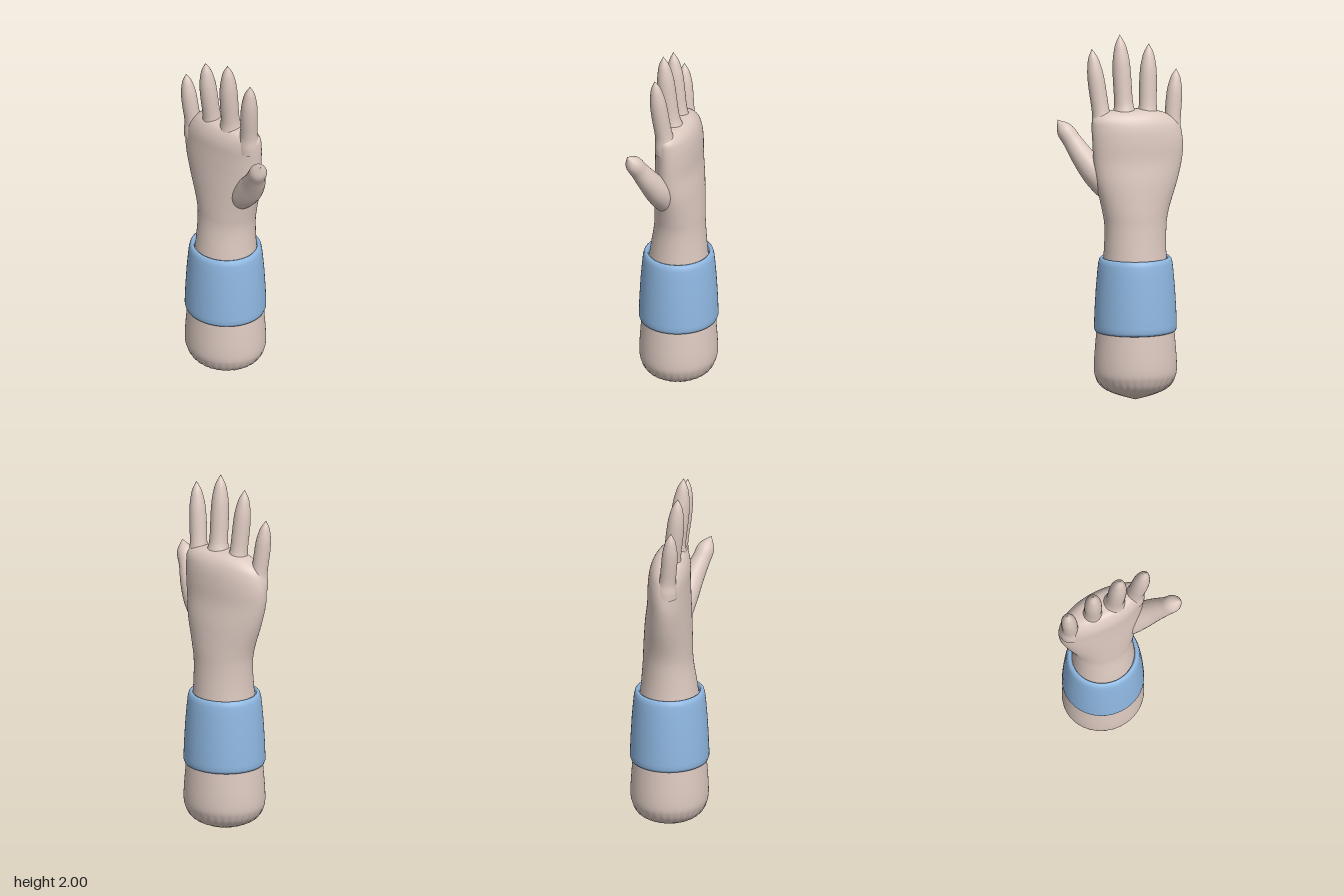
import * as THREE from 'three';

const skin = new THREE.MeshStandardMaterial({ color: 0xdcc9c0 });
skin.name = 'skin';
const cuffBlue = new THREE.MeshStandardMaterial({ color: 0x8fb8e2 });
cuffBlue.name = 'cuff blue';

// Smooth closed skin over a stack of rings; point(i, angle) returns a Vector3
function loft(rows, sides, point) {
  const pos = [], index = [];
  for (let i = 0; i <= rows; i++) {
    for (let j = 0; j < sides; j++) {
      const p = point(i / rows, (j / sides) * Math.PI * 2);
      pos.push(p.x, p.y, p.z);
      if (i === rows) continue;
      const a = i * sides + j, b = i * sides + (j + 1) % sides;
      index.push(a, a + sides, b, b, a + sides, b + sides);
    }
  }
  const geo = new THREE.BufferGeometry();
  geo.setAttribute('position', new THREE.Float32BufferAttribute(pos, 3));
  geo.setIndex(index);
  geo.computeVertexNormals();
  return geo;
}

const spline = (pts) => new THREE.CatmullRomCurve3(pts.map((p) => new THREE.Vector3(...p)), false, 'catmullrom', 0.5);

function add(group, name, geometry, material) {
  const mesh = new THREE.Mesh(geometry, material);
  mesh.name = name;
  group.add(mesh);
  return mesh;
}

// Forearm, wrist and palm: y, centre x, radius x, centre z, radius z
const ARM = [
  [0, -0.07, 0.002, 0, 0.002],
  [0.035, -0.07, 0.11, 0, 0.105],
  [0.07, -0.07, 0.178, 0, 0.168],
  [0.12, -0.07, 0.215, 0, 0.2],
  [0.19, -0.07, 0.226, 0, 0.212],
  [0.38, -0.07, 0.212, 0, 0.2],
  [0.6, -0.07, 0.19, 0, 0.178],
  [0.79, -0.067, 0.172, -0.002, 0.156],
  [0.95, -0.068, 0.17, -0.008, 0.137],
  [1.05, -0.068, 0.185, -0.008, 0.133],
  [1.2, -0.075, 0.226, -0.005, 0.125],
  [1.32, -0.083, 0.247, 0, 0.115],
  [1.42, -0.083, 0.253, 0, 0.112],
  [1.5, -0.078, 0.251, 0.003, 0.107],
  [1.555, -0.07, 0.235, 0.005, 0.09],
  [1.588, -0.06, 0.17, 0.01, 0.06],
  [1.598, -0.05, 0.002, 0.015, 0.002],
];

function armGeometry() {
  const centre = spline(ARM.map(([y, cx, , cz]) => [cx, y, cz]));
  const radius = spline(ARM.map(([y, , rx, , rz]) => [rx, y, rz]));
  return loft(80, 128, (t, a) => {
    const c = centre.getPoint(t), r = radius.getPoint(t);
    // pleats gathered under the rounded end
    const pleat = 1 + 0.018 * Math.cos(a * 32) * Math.max(0, 1 - Math.abs(c.y - 0.075) / 0.07);
    const x = c.x + Math.max(r.x, 0.001) * Math.cos(a) * pleat;
    const z = c.z + Math.max(r.z, 0.001) * Math.sin(a) * pleat;
    // knuckles slope down towards the little finger
    const drop = 0.9 * Math.max(0, -(x + 0.1)) ** 2 * THREE.MathUtils.smoothstep(c.y, 1.3, 1.55);
    return new THREE.Vector3(x, c.y - drop, z);
  });
}

// Round tapering digit along a path, with radii given at even steps
function digitGeometry(path, radii) {
  const curve = spline(path);
  const profile = spline(radii.map((r, i) => [r, i, 0]));
  const side = new THREE.Vector3(1, 0, 0);
  return loft(36, 28, (t, a) => {
    const tangent = curve.getTangent(t);
    const front = side.clone().cross(tangent).normalize();
    const right = tangent.clone().cross(front);
    const r = Math.max(profile.getPoint(t).x, 0.0005);
    return curve.getPoint(t)
      .addScaledVector(right, r * Math.cos(a))
      .addScaledVector(front, r * Math.sin(a));
  });
}

// name, base, tip, radius
const FINGERS = [
  ['littleFinger', [-0.275, 1.42, 0.012], [-0.312, 1.803, 0.045], 0.044],
  ['ringFinger', [-0.142, 1.5, 0.012], [-0.162, 1.945, 0.06], 0.048],
  ['middleFinger', [-0.015, 1.52, 0.015], [0, 2, 0.066], 0.05],
  ['indexFinger', [0.105, 1.48, 0.01], [0.158, 1.93, 0.064], 0.047],
];
const FINGER_PROFILE = [1.4, 1.28, 1.06, 1, 1, 1, 0.98, 0.92, 0.77, 0.52, 0];

export function createModel() {
  const model = new THREE.Group();
  model.name = 'hand';

  add(model, 'forearmAndPalm', armGeometry(), skin);

  for (const [name, base, tip, r] of FINGERS) {
    const mid = base.map((v, i) => (v + tip[i]) / 2);
    mid[2] += 0.004;
    add(model, name, digitGeometry([base, mid, tip], FINGER_PROFILE.map((k) => k * r)), skin);
  }

  // Thumb with its fleshy root sunk into the palm
  add(model, 'thumb', digitGeometry(
    [[0.02, 1.07, 0.015], [0.075, 1.16, 0.03], [0.14, 1.245, 0.05], [0.2, 1.33, 0.082],
      [0.25, 1.415, 0.12], [0.29, 1.48, 0.146], [0.322, 1.53, 0.168]],
    [0.03, 0.066, 0.073, 0.063, 0.051, 0.044, 0]), skin);

  // Padded cuff, slightly wider at the bottom
  const cuffProfile = [
    [0.17, 0.385], [0.21, 0.378], [0.22, 0.382], [0.225, 0.396], [0.225, 0.42],
    [0.222, 0.5], [0.215, 0.62], [0.207, 0.71], [0.202, 0.755], [0.196, 0.777],
    [0.185, 0.787], [0.176, 0.784], [0.171, 0.77], [0.17, 0.74], [0.17, 0.385],
  ].map(([r, y]) => new THREE.Vector2(r, y));
  const cuff = add(model, 'cuff', new THREE.LatheGeometry(cuffProfile, 64), cuffBlue);
  cuff.position.x = -0.07;
  cuff.scale.z = 0.955;

  return model;
}
